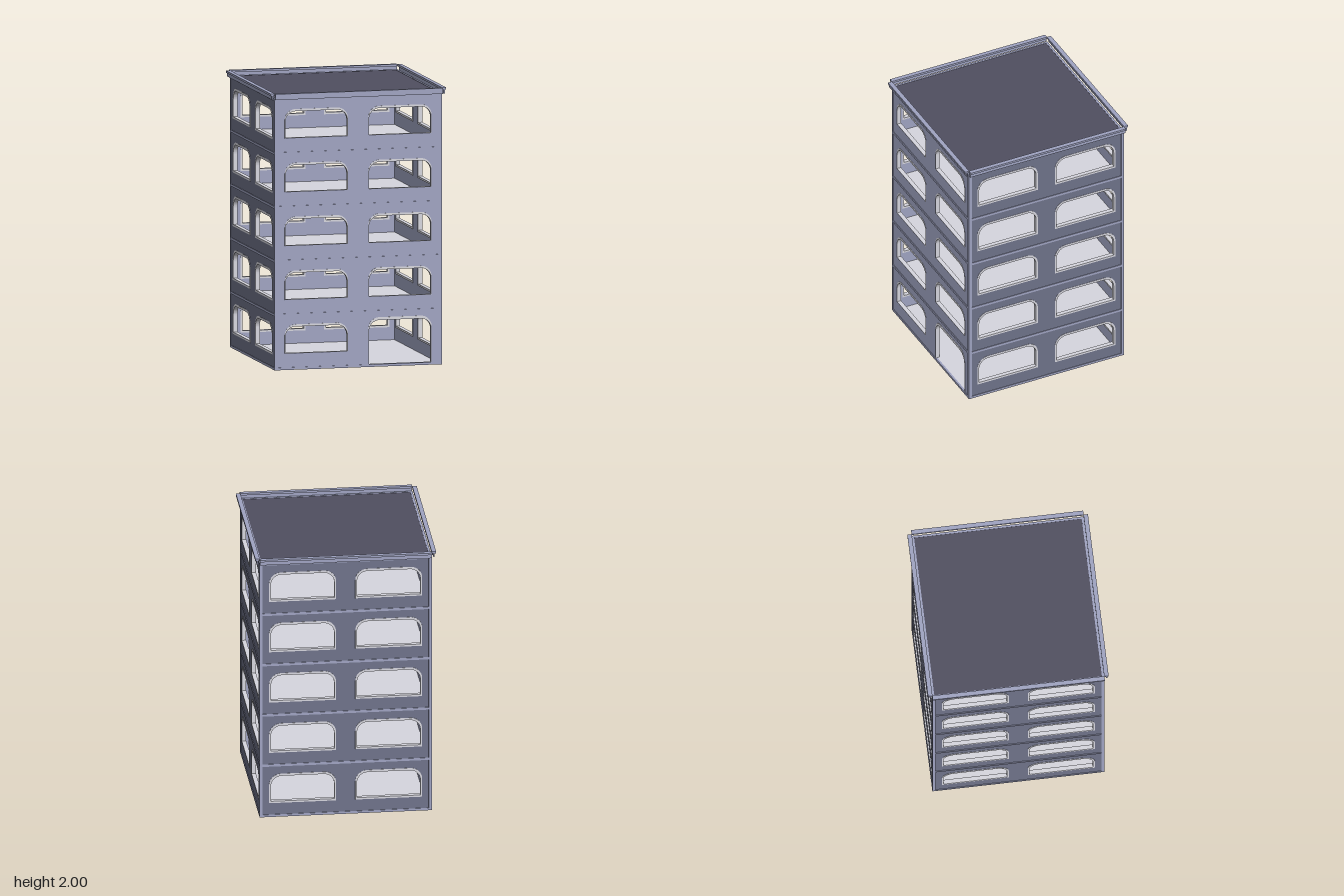
import * as THREE from 'three';

const mat = (name, color) => {
  const m = new THREE.MeshStandardMaterial({ color });
  m.name = name;
  return m;
};

// Arched opening: square bottom corners, rounded top corners
function arch(path, cx, half, y0, y1, r) {
  path.moveTo(cx - half, y0);
  path.lineTo(cx + half, y0);
  path.lineTo(cx + half, y1 - r);
  path.absarc(cx + half - r, y1 - r, r, 0, Math.PI / 2, false);
  path.absarc(cx - half + r, y1 - r, r, Math.PI / 2, Math.PI, false);
  path.closePath();
  return path;
}

export function createModel() {
  const light = mat('light wall', 0xa0a4c2);
  const dark = mat('side panel', 0x6f738a);
  const roofMat = mat('roof', 0x504f60);
  const pale = mat('pale floor and frame', 0xd7d7df);

  const model = new THREE.Group();
  model.name = 'building';
  const FLOORS = 5, PITCH = 0.389, HALF = 0.62, WALL_TOP = 1.955;

  const add = (parent, name, geo, material, x = 0, y = 0, z = 0) => {
    const m = new THREE.Mesh(geo, material);
    m.name = name;
    m.position.set(x, y, z);
    parent.add(m);
    return m;
  };
  const extrude = (shape, depth) =>
    new THREE.ExtrudeGeometry(shape, { depth, bevelEnabled: false, curveSegments: 6 });

  // Openings of one side: outer edge of the frame, and the clear hole inside it
  function openings(front) {
    const list = [];
    for (let k = 0; k < FLOORS; k++) {
      for (const cx of [-0.31, 0.31]) {
        const b = k * PITCH;
        if (front && k === 0 && cx > 0) {
          list.push({ name: 'doorFrame', cx, out: [0.234, 0.016, 0.357, 0.08], inn: [0.23, 0.018, 0.336, 0.075] });
        } else if (front) {
          list.push({ name: 'frontWindowFrame', cx, out: [0.234, b + 0.119, b + 0.328, 0.08], inn: [0.23, b + 0.12, b + 0.312, 0.075] });
        } else {
          list.push({ name: 'windowFrame', cx, out: [0.241, b + 0.106, b + 0.331, 0.085], inn: [0.228, b + 0.12, b + 0.314, 0.075] });
        }
      }
    }
    return list;
  }

  // Four sides, each built facing +z and turned into place
  ['front', 'left', 'back', 'right'].forEach((side, i) => {
    const g = new THREE.Group();
    g.name = side + 'Side';
    g.rotation.y = i * Math.PI / 2;
    model.add(g);
    const front = i === 0;
    const list = openings(front);

    const wall = new THREE.Shape();
    wall.moveTo(-0.605, 0.005);
    wall.lineTo(0.605, 0.005);
    wall.lineTo(0.605, WALL_TOP);
    wall.lineTo(-0.605, WALL_TOP);
    wall.closePath();
    for (const o of list) wall.holes.push(arch(new THREE.Path(), o.cx, ...o.out));
    add(g, 'innerWall', extrude(wall, 0.018), light, 0, 0, 0.59);
    add(g, 'outerPanel', extrude(wall, 0.008), front ? light : dark, 0, 0, 0.608);

    // Window and door frames
    for (const o of list) {
      const ring = arch(new THREE.Shape(), o.cx, ...o.out);
      ring.holes.push(arch(new THREE.Path(), o.cx, ...o.inn));
      add(g, o.name, extrude(ring, 0.032), pale, 0, 0, 0.586);
    }

    // Floor bands
    for (let k = 0; k <= FLOORS; k++) {
      add(g, 'floorBand', new THREE.BoxGeometry(1.24, 0.018, 0.016), light, 0, k * PITCH + 0.009, 0.612);
    }
    // Corner post
    add(g, 'cornerPost', new THREE.BoxGeometry(0.022, WALL_TOP, 0.022), light, 0.609, WALL_TOP / 2, 0.609);

    // Cornice: overhanging cap with a lip hanging below it
    add(g, 'corniceCap', new THREE.BoxGeometry(1.24, 0.015, 0.032), light, 0, 1.9925, 0.635);
    add(g, 'corniceLip', new THREE.BoxGeometry(1.24, 0.03, 0.01), light, 0, 1.972, 0.636);
  });

  // Floor slabs: pale on top, wall colour beneath
  const slabMats = [light, light, pale, light, light, light];
  for (let k = 0; k < FLOORS; k++) {
    add(model, 'floorSlab', new THREE.BoxGeometry(1.2, 0.012, 1.2), slabMats, 0, k * PITCH + 0.008, 0);
  }
  add(model, 'baseUnderside', new THREE.BoxGeometry(1.238, 0.004, 1.238), light, 0, 0.002, 0);

  // Roof: dark on top, wall colour as the ceiling beneath
  const roofMats = [light, light, roofMat, light, light, light];
  add(model, 'roof', new THREE.BoxGeometry(2 * HALF, 0.01, 2 * HALF), roofMats, 0, 1.956, 0);
  return model;
}
